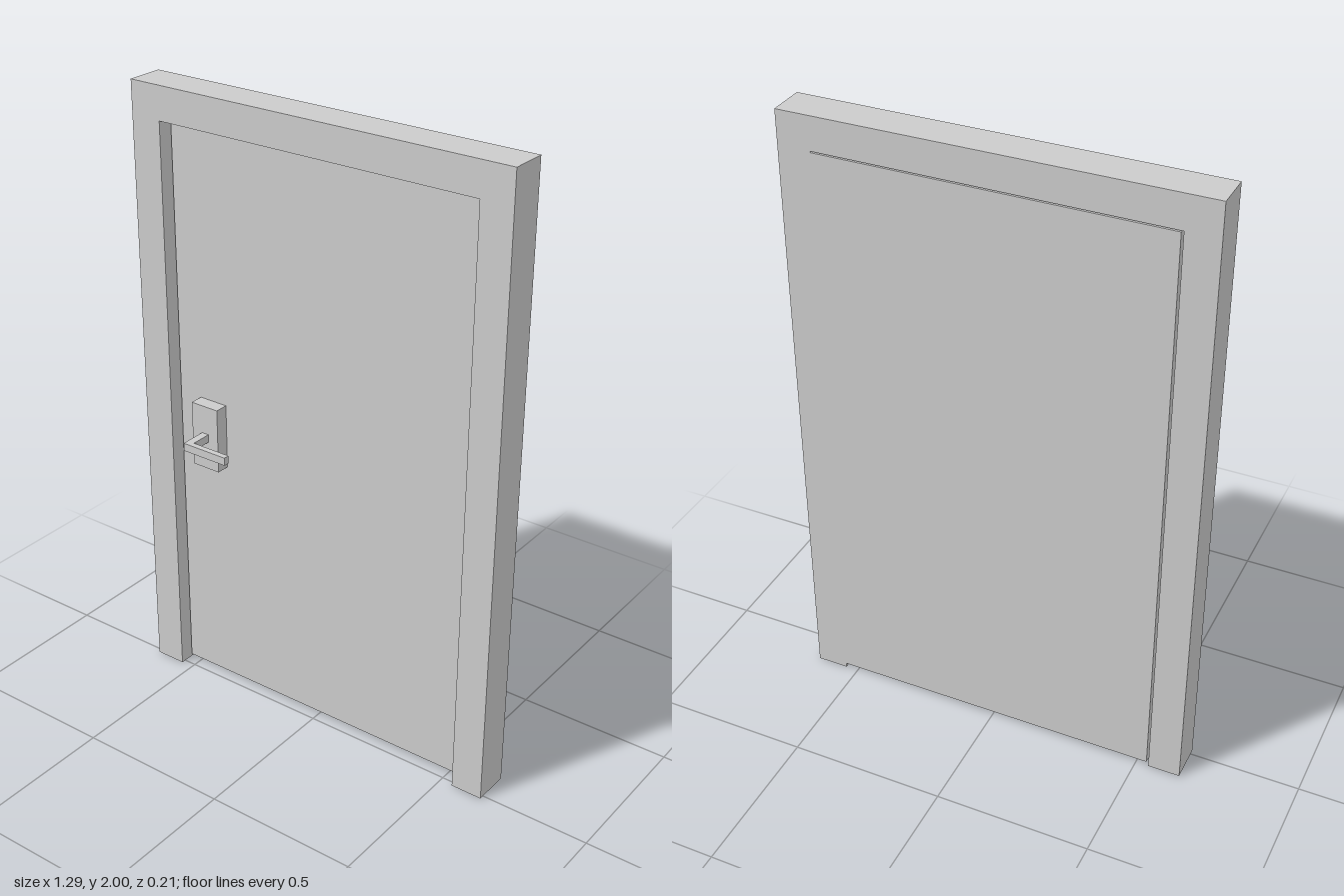
import * as THREE from 'three';

const material = new THREE.MeshStandardMaterial({ color: 0xcccccc, flatShading: true });

// Extrude a flat outline by the given depth
function extrude(name, points, depth) {
  const shape = new THREE.Shape(points.map(([x, y]) => new THREE.Vector2(x, y)));
  const mesh = new THREE.Mesh(new THREE.ExtrudeGeometry(shape, { depth, bevelEnabled: false }), material);
  mesh.name = name;
  return mesh;
}

// Box given by its minimum and maximum corners
function box(name, [x0, y0, z0], [x1, y1, z1]) {
  const mesh = new THREE.Mesh(new THREE.BoxGeometry(x1 - x0, y1 - y0, z1 - z0), material);
  mesh.position.set((x0 + x1) / 2, (y0 + y1) / 2, (z0 + z1) / 2);
  mesh.name = name;
  return mesh;
}

export function createModel() {
  const model = new THREE.Group();
  model.name = 'door';

  // Door frame: two jambs and a head, open at the bottom
  const W = 0.645, inner = 0.542, head = 1.894, back = -0.105;
  const frame = extrude('doorFrame', [
    [-W, 0], [-inner, 0], [-inner, head], [inner, head],
    [inner, 0], [W, 0], [W, 2], [-W, 2],
  ], 0.12);
  frame.position.z = back;
  model.add(frame);

  // Door leaf: flush at the back, recessed in front, small gap on the latch side
  model.add(box('doorLeaf', [-0.535, 0.015, back], [inner, 1.89, -0.027]));

  // Handle: back plate and an L-shaped lever
  const handle = new THREE.Group();
  handle.name = 'handle';
  handle.add(box('handlePlate', [-0.455, 0.8, -0.027], [-0.355, 1.015, 0.017]));
  const lever = extrude('handleLever', [
    [-0.417, -0.017], [-0.392, -0.017], [-0.392, -0.086],
    [-0.256, -0.086], [-0.256, -0.105], [-0.417, -0.105],
  ].reverse(), 0.026);
  lever.rotation.x = -Math.PI / 2;
  lever.position.y = 0.895;
  handle.add(lever);
  model.add(handle);

  return model;
}
